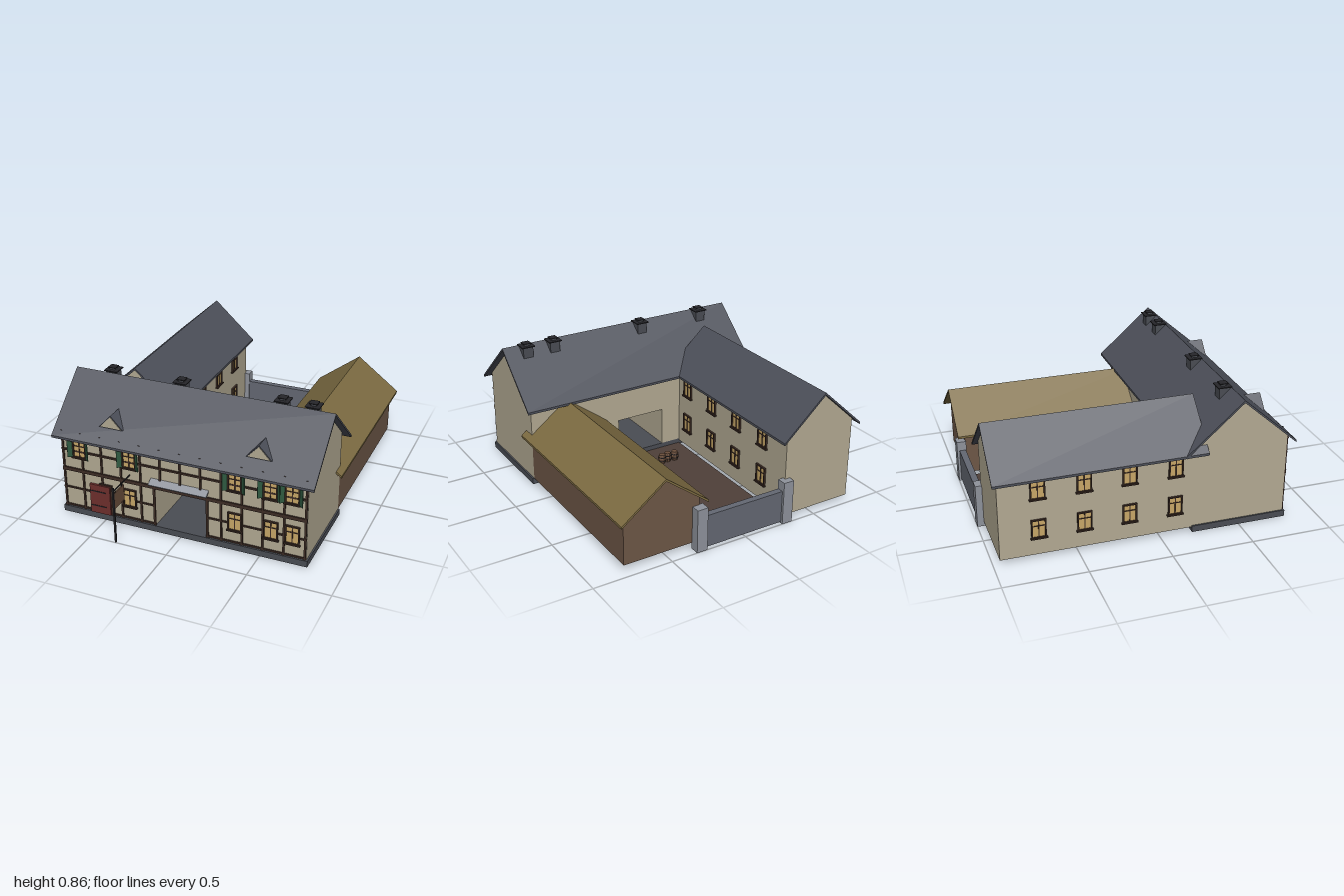
import * as THREE from 'three';

const mat = (c) => new THREE.MeshStandardMaterial({ color: c, flatShading: true, side: THREE.DoubleSide });
const M = {
  plaster: mat(0xb3aa93), roof: mat(0x4d505a), barnRoof: mat(0x7d6c42), barn: mat(0x6e5747),
  dark: mat(0x3a2a24), timber: mat(0x3d2c25), plinth: mat(0x4a4d54), stone: mat(0x8f939c),
  gate: mat(0x646873), ground: mat(0x4f4039), glass: mat(0xc9a868), green: mat(0x2f5a40),
  red: mat(0x6e2f2d), hay: mat(0xa08a45), wood: mat(0x6b4f3c), iron: mat(0x26262a),
};

function mesh(parent, name, geo, m, x = 0, y = 0, z = 0) {
  const o = new THREE.Mesh(geo, m);
  o.name = name;
  o.position.set(x, y, z);
  parent.add(o);
  return o;
}

// box given by its lower and upper corners
function box(parent, name, m, [x0, y0, z0], [x1, y1, z1]) {
  return mesh(parent, name, new THREE.BoxGeometry(x1 - x0, y1 - y0, z1 - z0), m,
    (x0 + x1) / 2, (y0 + y1) / 2, (z0 + z1) / 2);
}

// outline extruded along z
function prism(parent, name, m, pts, z0, z1) {
  const shape = new THREE.Shape(pts.map((p) => new THREE.Vector2(...p)));
  const geo = new THREE.ExtrudeGeometry(shape, { depth: z1 - z0, bevelEnabled: false });
  return mesh(parent, name, geo, m, 0, 0, z0);
}

// gabled house along z: walls with gables and a thin overhanging roof
function house(parent, name, o) {
  const g = new THREE.Group();
  g.name = name;
  const slope = (o.ridge - o.eave) / o.roofHalf, t = o.thick ?? 0.015;
  const top = (u) => o.ridge - t - Math.abs(u) * slope;
  prism(g, name + 'Walls', o.wall,
    [[-o.w0, o.y0], [o.w1, o.y0], [o.w1, top(o.w1)], [0, top(0)], [-o.w0, top(o.w0)]], o.z0, o.z1);
  const r = o.roofHalf;
  prism(g, name + 'Roof', o.roof,
    [[-r, o.eave], [0, o.ridge], [r, o.eave], [r, o.eave - t], [0, o.ridge - t], [-r, o.eave - t]], o.r0, o.r1);
  parent.add(g);
  return g;
}

// window facing +z, origin at the centre on the wall
function makeWindow(shutters) {
  const g = new THREE.Group(), w = 0.04, h = 0.056, f = 0.008;
  g.name = 'window';
  box(g, 'glass', M.glass, [-w, -h, 0], [w, h, 0.004]);
  for (const s of [-1, 1]) {
    box(g, 'frameSide', M.timber, [s * w - f / 2, -h, 0], [s * w + f / 2, h, 0.012]);
    box(g, 'frameRail', M.timber, [-w - f / 2, s * h - f / 2, 0], [w + f / 2, s * h + f / 2, 0.012]);
    if (shutters) {
      const sh = mesh(g, 'shutter', new THREE.BoxGeometry(0.036, 0.112, 0.005), M.green, s * 0.055, 0, 0.018);
      sh.rotation.y = -s * 0.7;
    }
  }
  box(g, 'mullion', M.timber, [-0.003, -h, 0], [0.003, h, 0.008]);
  box(g, 'transom', M.timber, [-w, 0.015, 0], [w, 0.02, 0.008]);
  box(g, 'sill', M.timber, [-w - 0.01, -h - 0.008, 0], [w + 0.01, -h, 0.018]);
  return g;
}

function addWindow(parent, x, y, z, ry, shutters) {
  const w = makeWindow(shutters);
  w.position.set(x, y, z);
  w.rotation.y = ry;
  parent.add(w);
}

function frontBuilding(root) {
  // upper storey and roof, ridge along x
  const upper = house(root, 'frontHouse', {
    wall: M.plaster, roof: M.roof, y0: 0.29, w0: 0.305, w1: 0.285, roofHalf: 0.345,
    eave: 0.53, ridge: 0.833, z0: -0.78, z1: 0.78, r0: -0.823, r1: 0.823,
  });
  upper.rotation.y = Math.PI / 2;
  upper.position.z = 0.485;
  // ground floor on both sides of the gateway
  for (const s of [-1, 1]) {
    mesh(root, 'groundFloor', new THREE.BoxGeometry(0.615, 0.25, 0.59), M.plaster, s * 0.4725, 0.165, 0.495);
  }
  box(root, 'plinth', M.plinth, [-0.79, 0, 0.2], [0.79, 0.04, 0.803]);

  // timber frame
  const z0 = 0.788, z1 = 0.798;
  for (let i = -6; i <= 6; i++) {
    const x = i * 0.1285;
    box(root, 'post', M.timber, [x - 0.006, Math.abs(i) < 2 ? 0.3 : 0.04, z0], [x + 0.006, 0.56, z1]);
  }
  for (const s of [-1, 1]) {
    box(root, 'gatewayPost', M.timber, [s * 0.17 - 0.007, 0.04, z0], [s * 0.17 + 0.007, 0.3, z1]);
    for (const y of [0.05, 0.175]) {
      mesh(root, 'lowerRail', new THREE.BoxGeometry(0.61, 0.01, 0.01), M.timber, s * 0.475, y, 0.793);
    }
  }
  for (const [y, h] of [[0.303, 0.022], [0.435, 0.011], [0.53, 0.012]]) {
    box(root, 'rail', M.timber, [-0.78, y - h / 2, z0], [0.78, y + h / 2, z1 + 0.002]);
  }

  for (const x of [-0.655, -0.325, 0.345, 0.56, 0.69]) addWindow(root, x, 0.455, 0.795, 0, true);
  for (const x of [-0.33, 0.345, 0.565, 0.695]) addWindow(root, x, 0.192, 0.795, 0, false);

  // door
  box(root, 'doorFrame', M.timber, [-0.535, 0.04, 0.79], [-0.45, 0.245, 0.8]);
  box(root, 'door', M.red, [-0.595, 0.042, 0.795], [-0.46, 0.237, 0.81]);
  for (const y of [0.09, 0.19]) box(root, 'doorHinge', M.iron, [-0.59, y, 0.81], [-0.49, y + 0.006, 0.813]);

  // canopy over the gateway
  const canopy = mesh(root, 'canopy', new THREE.BoxGeometry(0.37, 0.01, 0.05), M.stone, -0.005, 0.342, 0.807);
  canopy.rotation.x = 0.55;

  // dormers
  for (const x of [-0.46, 0.47]) {
    const d = prism(root, 'dormerRoof', M.roof, [[-0.078, 0.608], [0.078, 0.608], [0, 0.692]], 0.62, 0.752);
    d.position.x = x;
    const f = prism(root, 'dormerFront', M.plaster, [[-0.068, 0.612], [0.068, 0.612], [0, 0.685]], 0.75, 0.755);
    f.position.x = x;
  }

  // chimneys
  for (const x of [-0.595, -0.14, 0.495, 0.68]) {
    box(root, 'chimney', M.plinth, [x - 0.033, 0.72, 0.41], [x + 0.033, 0.836, 0.475]);
    box(root, 'chimneyCollar', M.iron, [x - 0.043, 0.836, 0.4], [x + 0.043, 0.842, 0.485]);
    box(root, 'chimneyFlue', M.plinth, [x - 0.018, 0.84, 0.425], [x + 0.018, 0.853, 0.46]);
    box(root, 'chimneyCap', M.iron, [x - 0.025, 0.853, 0.418], [x + 0.025, 0.858, 0.467]);
  }
}

function hangingSign(root) {
  const x = -0.33;
  box(root, 'signPole', M.iron, [x - 0.005, 0, 0.987], [x + 0.005, 0.365, 0.998]);
  box(root, 'signArm', M.iron, [x - 0.003, 0.342, 0.79], [x + 0.003, 0.348, 0.99]);
  box(root, 'signBoard', M.wood, [x - 0.004, 0.225, 0.87], [x + 0.004, 0.325, 0.985]);
  for (const z of [0.89, 0.965]) box(root, 'signHanger', M.iron, [x - 0.002, 0.325, z], [x + 0.002, 0.342, z + 0.004]);
}

function wings(root) {
  // guest wing
  const wing = house(root, 'guestWing', {
    wall: M.plaster, roof: M.roof, y0: 0.03, w0: 0.24, w1: 0.24, roofHalf: 0.28,
    eave: 0.53, ridge: 0.785, z0: -0.96, z1: 0.25, r0: -0.99, r1: 0.28,
  });
  wing.position.x = -0.54;
  for (const z of [-0.73, -0.46, -0.19, 0.09]) {
    for (const y of [0.2, 0.45]) {
      addWindow(root, -0.78, y, z, -Math.PI / 2, false);
      addWindow(root, -0.3, y, z, Math.PI / 2, false);
    }
  }
  // barn
  const barn = house(root, 'barn', {
    wall: M.barn, roof: M.barnRoof, y0: 0.04, w0: 0.245, w1: 0.245, roofHalf: 0.28,
    eave: 0.318, ridge: 0.53, z0: -0.945, z1: 0.25, r0: -0.99, r1: 0.28,
  });
  barn.position.x = 0.535;
  for (const z of [-0.67, -0.33, 0.01]) {
    box(root, 'stallOpening', M.dark, [0.282, 0.04, z - 0.09], [0.295, 0.25, z + 0.09]);
    box(root, 'stallLintel', M.timber, [0.278, 0.25, z - 0.1], [0.295, 0.265, z + 0.1]);
    for (const s of [-1, 1]) box(root, 'stallPost', M.timber, [0.278, 0.01, z + s * 0.095 - 0.006], [0.295, 0.25, z + s * 0.095 + 0.006]);
    // hay bales
    [[-0.045, 0.03, 0.2], [0.04, 0.03, -0.15], [0, 0.072, 0.1]].forEach(([dz, y, a]) => {
      mesh(root, 'hayBale', new THREE.BoxGeometry(0.045, 0.042, 0.075), M.hay, 0.25, y, z + dz).rotation.y = a;
    });
  }
}

function courtyard(root) {
  box(root, 'yardGround', M.ground, [-0.3, 0, -0.95], [0.3, 0.01, 0.2]);
  // back gate
  box(root, 'gate', M.gate, [-0.28, 0.01, -0.985], [0.28, 0.215, -0.945]);
  for (const s of [-1, 1]) {
    mesh(root, 'gatePillar', new THREE.BoxGeometry(0.07, 0.275, 0.06), M.stone, s * 0.3, 0.1375, -0.97);
  }
  // barrels
  const profile = [[0, 0], [0.02, 0], [0.027, 0.03], [0.02, 0.06], [0, 0.06]].map((p) => new THREE.Vector2(...p));
  for (const [x, z] of [[-0.145, 0.01], [-0.095, 0.015], [-0.05, 0.01], [0.1, -0.045], [0.14, -0.04], [0.18, -0.045]]) {
    mesh(root, 'barrel', new THREE.LatheGeometry(profile, 10), M.wood, x, 0.01, z);
    for (const y of [0.028, 0.052]) {
      mesh(root, 'barrelHoop', new THREE.CylinderGeometry(0.0265, 0.0265, 0.005, 10), M.iron, x, y, z);
    }
  }
  mesh(root, 'crate', new THREE.BoxGeometry(0.06, 0.05, 0.06), M.wood, 0.085, 0.035, -0.17).rotation.y = 0.5;
}

export function createModel() {
  const root = new THREE.Group();
  root.name = 'courtyardInn';
  frontBuilding(root);
  hangingSign(root);
  wings(root);
  courtyard(root);
  return root;
}
